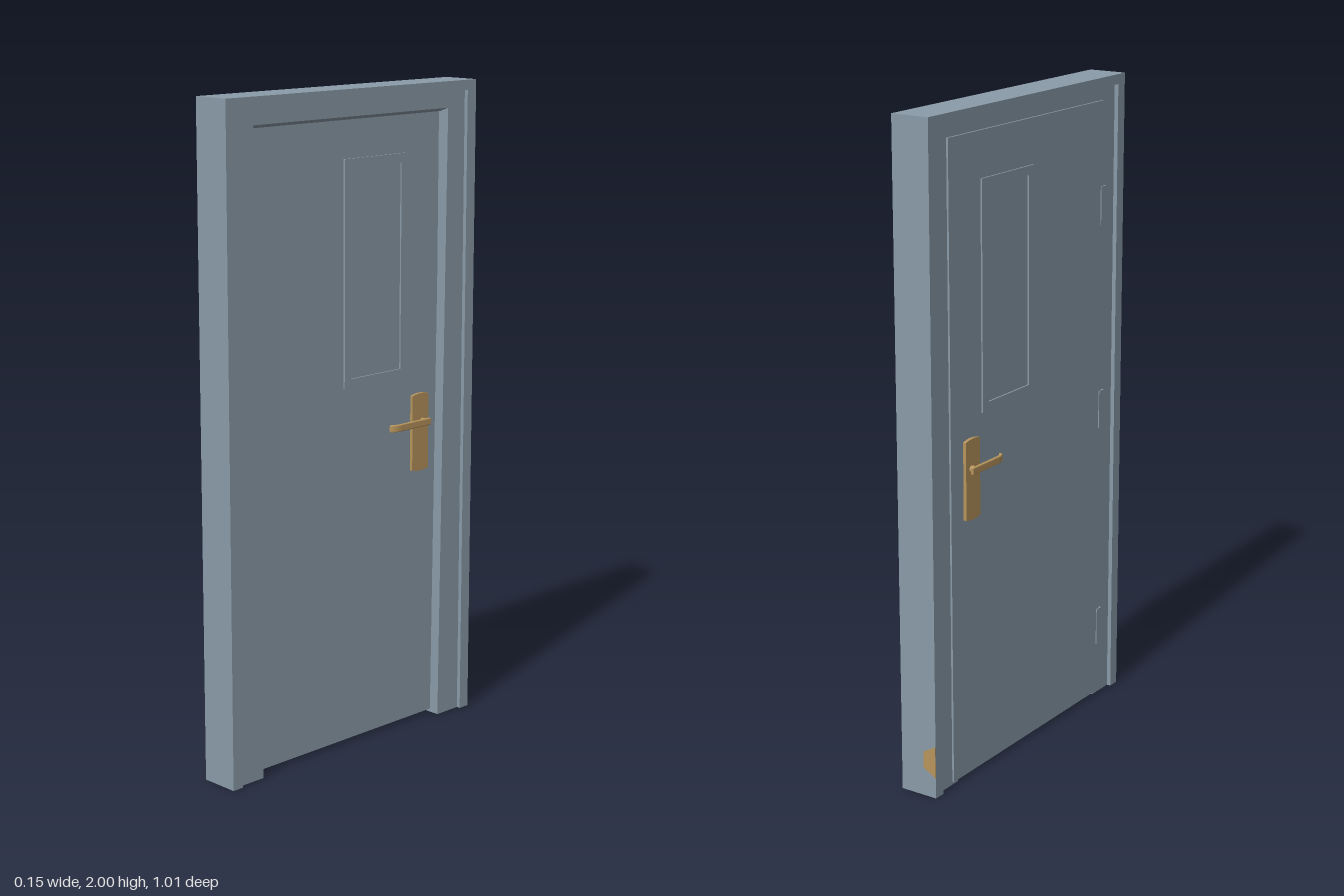
import * as THREE from 'three';

export function createModel() {
  const model = new THREE.Group();
  model.name = 'door';
  const steel = new THREE.MeshStandardMaterial({ color: 0x8a9ba8 });
  steel.name = 'blue grey steel';
  const brass = new THREE.MeshStandardMaterial({ color: 0xb8955c });
  brass.name = 'brass';

  function add(name, geometry, material, parent = model) {
    const mesh = new THREE.Mesh(geometry, material);
    mesh.name = name;
    parent.add(mesh);
    return mesh;
  }

  function box(name, x0, x1, y0, y1, z0, z1, material = steel, parent = model) {
    const mesh = add(name, new THREE.BoxGeometry(x1 - x0, y1 - y0, z1 - z0), material, parent);
    mesh.position.set((x0 + x1) / 2, (y0 + y1) / 2, (z0 + z1) / 2);
    return mesh;
  }

  // Shape drawn in (-z, y) and extruded from x0 to x1
  function extrudeX(shape, x0, x1) {
    const g = new THREE.ExtrudeGeometry(shape, { depth: x1 - x0, bevelEnabled: false, curveSegments: 8 });
    return g.rotateY(Math.PI / 2).translate(x0, 0, 0);
  }

  const polygon = (pts) => new THREE.Shape(pts.map(([u, v]) => new THREE.Vector2(u, v)));

  // Three-sided door surround, open at the floor
  function surround(name, outer, top, innerTop, innerBottom, innerY, x0, x1) {
    const shape = polygon([
      [-outer, 0], [-innerBottom, 0], [-innerTop, innerY], [innerTop, innerY],
      [innerBottom, 0], [outer, 0], [outer, top], [-outer, top],
    ]);
    add(name, extrudeX(shape, x0, x1), steel);
  }
  surround('outerFrame', 0.505, 2, 0.468, 0.468, 1.97, -0.05, 0.072);
  surround('innerFrame', 0.468, 1.97, 0.395, 0.376, 1.92, -0.037, 0.06);

  // Sloping underside of the frame head
  const wedge = new THREE.ExtrudeGeometry(polygon([[0.027, 1.908], [0.06, 1.92], [0.027, 1.92]]),
    { depth: 0.79, bevelEnabled: false });
  add('headStop', wedge.translate(0, 0, -0.395), steel);

  // Leaf with an overlapping lip on the hinge face
  box('leaf', -0.04, 0.027, 0.01, 1.92, -0.39, 0.39);
  box('leafLip', -0.043, -0.036, 0.01, 1.93, -0.405, 0.4);

  // Hinges
  for (const y of [0.235, 0.965, 1.61]) {
    box('hinge', -0.046, -0.036, y - 0.06, y + 0.06, 0.385, 0.412);
  }

  // Raised window trim on both faces
  const trimShape = polygon([[-0.012, 1.115], [0.252, 1.115], [0.252, 1.795], [-0.012, 1.795]]);
  trimShape.holes.push(new THREE.Path([[0.015, 1.142], [0.015, 1.768], [0.225, 1.768], [0.225, 1.142]]
    .map(([u, v]) => new THREE.Vector2(u, v))));
  add('windowTrimRight', extrudeX(trimShape, 0.026, 0.032), steel);
  add('windowTrimLeft', extrudeX(trimShape, -0.048, -0.042), steel);

  // Handle set, built outward along +x from the leaf face
  function handle(name) {
    const group = new THREE.Group();
    group.name = name;
    const plate = new THREE.Shape();
    plate.moveTo(0.275, 0.815);
    plate.quadraticCurveTo(0.31, 0.805, 0.345, 0.815);
    plate.lineTo(0.345, 1.05);
    plate.quadraticCurveTo(0.31, 1.06, 0.275, 1.05);
    add('backPlate', extrudeX(plate, 0, 0.01), brass, group);

    const spindle = add('spindle', new THREE.CylinderGeometry(0.011, 0.011, 0.022, 16), brass, group);
    spindle.rotation.z = Math.PI / 2;
    spindle.position.set(0.016, 0.965, -0.318);

    // Lever seen from above: straight bar with its tip curling to the leaf
    const lever = new THREE.Shape();
    lever.moveTo(0.022, -0.334);
    lever.lineTo(0.028, -0.334);
    lever.lineTo(0.028, -0.205);
    lever.quadraticCurveTo(0.027, -0.182, 0.014, -0.174);
    lever.lineTo(0.012, -0.179);
    lever.quadraticCurveTo(0.021, -0.188, 0.022, -0.205);
    const bar = new THREE.ExtrudeGeometry(lever, {
      depth: 0.016, bevelThickness: 0.003, bevelSize: 0.002, bevelSegments: 2, curveSegments: 6,
    });
    add('lever', bar.rotateX(Math.PI / 2).translate(0, 0.973, 0), brass, group);
    model.add(group);
    return group;
  }
  handle('handleRight').position.x = 0.027;
  const left = handle('handleLeft');
  left.position.x = -0.043;
  left.scale.x = -1;

  // Small half-hexagon plate at the foot of the jamb
  const mark = polygon([[0, -0.05], [0.043, -0.025], [0.043, 0.025], [0, 0.05]]);
  const markGeometry = new THREE.ExtrudeGeometry(mark, { depth: 0.002, bevelEnabled: false });
  add('jambPlate', markGeometry.translate(-0.05, 0.115, -0.507), brass);

  return model;
}
